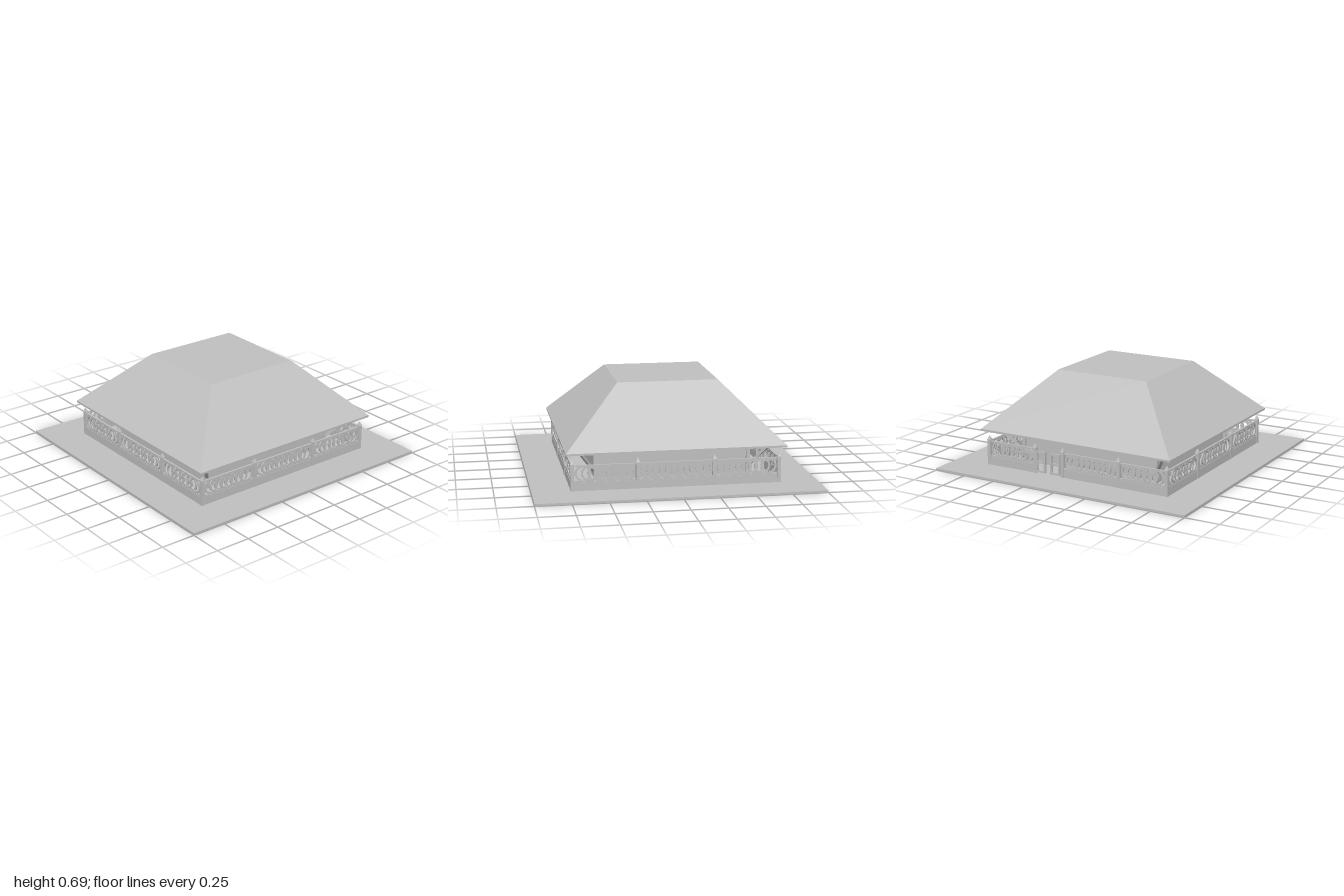
import * as THREE from 'three';

const grey = new THREE.MeshStandardMaterial({ color: 0xc0c0c0 });
grey.name = 'pale grey';

function add(parent, name, geometry, x = 0, y = 0, z = 0) {
  const mesh = new THREE.Mesh(geometry, grey);
  mesh.name = name;
  mesh.position.set(x, y, z);
  parent.add(mesh);
  return mesh;
}

// Box given by its lower and upper height
function block(parent, name, w, y0, y1, d, x = 0, z = 0) {
  return add(parent, name, new THREE.BoxGeometry(w, y1 - y0, d), x, (y0 + y1) / 2, z);
}

// Square frustum with radii measured to the flat sides
function squareTaper(top, bottom, height) {
  const g = new THREE.CylinderGeometry(top * Math.SQRT2, bottom * Math.SQRT2, height, 4, 1);
  return g.rotateY(Math.PI / 4).toNonIndexed();
}

function flat(geometry) {
  geometry.computeVertexNormals();
  return geometry;
}

// Flat ring shared by all fence panels
const ringShape = new THREE.Shape().absarc(0, 0, 0.057, 0, Math.PI * 2);
ringShape.holes.push(new THREE.Path().absarc(0, 0, 0.043, 0, Math.PI * 2, true));
const ringGeometry = new THREE.ExtrudeGeometry(ringShape, { depth: 0.01, bevelEnabled: false, curveSegments: 12 });
ringGeometry.translate(0, 0, -0.005);
const tipGeometry = flat(squareTaper(0.001, 0.014, 0.03));

function fencePost(side, x) {
  block(side, 'fencePost', 0.026, 0.015, 0.2, 0.026, x);
  add(side, 'fencePostTip', tipGeometry, x, 0.215, 0);
}

// Low wall, two rails and a row of overlapping rings between two posts
function fencePanel(side, x0, x1) {
  const mid = (x0 + x1) / 2, length = x1 - x0;
  block(side, 'fenceWall', length, 0.015, 0.075, 0.02, mid);
  for (const y of [0.08, 0.188]) block(side, 'fenceRail', length - 0.025, y - 0.005, y + 0.005, 0.014, mid);
  const first = x0 + 0.075, span = length - 0.15;
  const count = Math.round(span / 0.041);
  for (let i = 0; i <= count; i++) {
    add(side, 'fenceRing', ringGeometry, first + span * i / count, 0.134, i % 2 ? 0.002 : -0.002);
  }
}

// One gate leaf: a thin frame with a middle bar
function gateLeaf(side, x) {
  const leaf = new THREE.Group();
  leaf.name = 'gateLeaf';
  for (const s of [-1, 1]) block(leaf, 'gateStile', 0.014, 0.025, 0.18, 0.016, s * 0.033);
  for (const y of [0.032, 0.1, 0.172]) block(leaf, 'gateBar', 0.07, y - 0.007, y + 0.007, 0.012);
  leaf.position.set(x, 0, 0.012);
  side.add(leaf);
}

export function createModel() {
  const model = new THREE.Group();
  model.name = 'pavilion';

  block(model, 'groundSlab', 2, 0, 0.015, 2);

  // Hipped roof with a flat top
  block(model, 'roofEave', 1.535, 0.27, 0.284, 1.535);
  add(model, 'roof', flat(squareTaper(0.36, 0.765, 0.401)), 0, 0.4845, 0);

  // Inner room with corner columns
  for (const s of [-1, 1]) {
    block(model, 'roomWall', 1.06, 0.015, 0.272, 0.012, 0, s * 0.53);
    block(model, 'roomWall', 0.012, 0.015, 0.272, 1.06, s * 0.53, 0);
  }
  for (const sx of [-1, 1]) for (const sz of [-1, 1]) {
    block(model, 'column', 0.025, 0.005, 0.272, 0.025, sx * 0.542, sz * 0.542);
    // Slanted brace from the column out to the eave corner
    const a = new THREE.Vector3(sx * 0.545, 0.1, sz * 0.545);
    const b = new THREE.Vector3(sx * 0.668, 0.275, sz * 0.668);
    const brace = add(model, 'eaveBrace', new THREE.BoxGeometry(0.02, 0.02, a.distanceTo(b)));
    brace.position.addVectors(a, b).multiplyScalar(0.5);
    brace.lookAt(b);
  }

  // Fence on four sides; the back one has a gate
  for (let i = 0; i < 4; i++) {
    const turn = new THREE.Group();
    turn.name = 'fenceSide';
    turn.rotation.y = i * Math.PI / 2;
    const side = new THREE.Group();
    side.name = 'fence';
    side.position.z = 0.722;
    turn.add(side);
    model.add(turn);
    const isBack = i === 2;
    const posts = isBack ? [-0.722, -0.33, -0.1, 0.35, 0.722] : [-0.722, -0.27, 0.265, 0.722];
    posts.slice(0, -1).forEach((x, k) => {
      fencePost(side, x);
      if (isBack && k === 1) {
        gateLeaf(side, -0.275);
        gateLeaf(side, -0.155);
      } else fencePanel(side, x, posts[k + 1]);
    });
  }
  return model;
}
